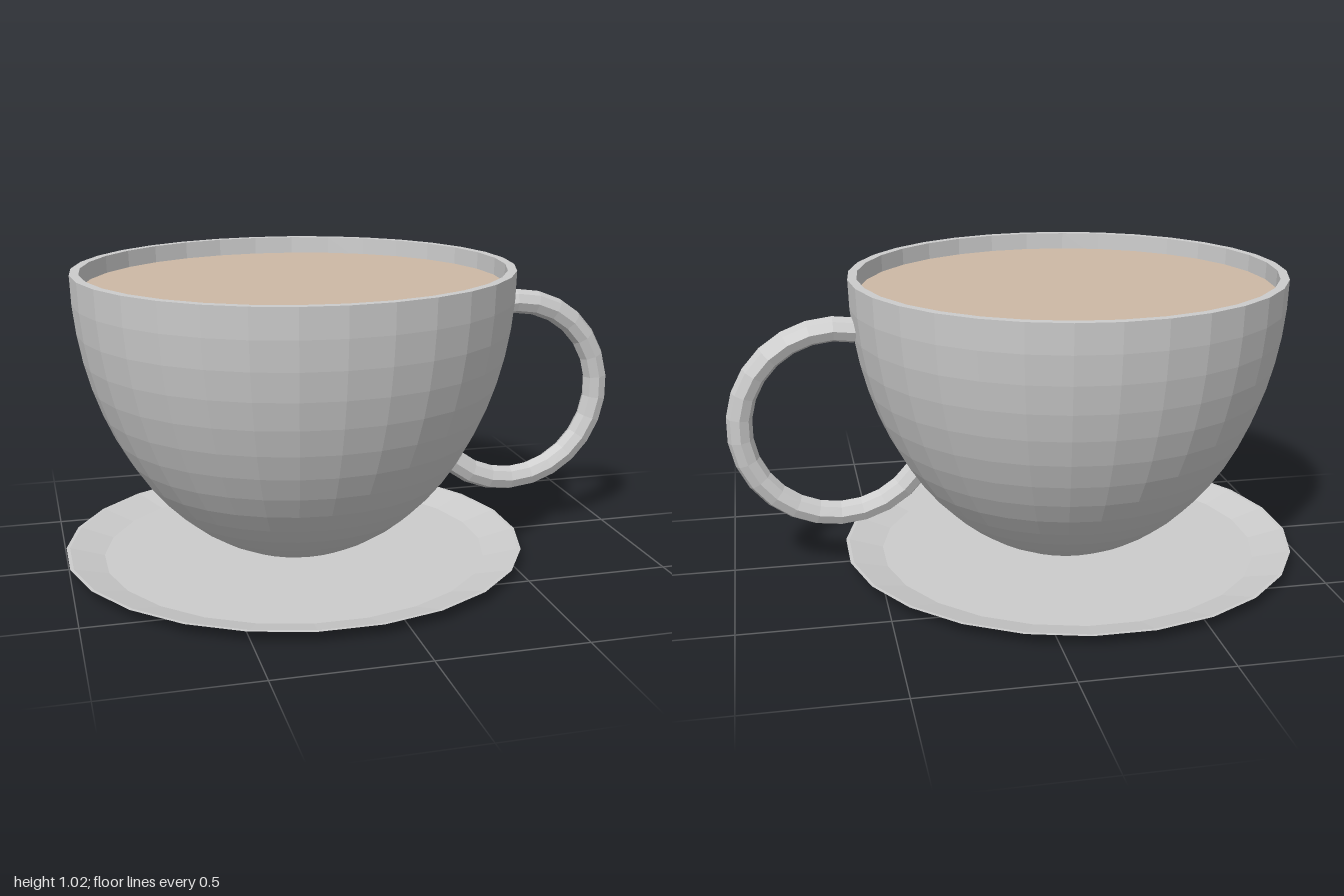
import * as THREE from 'three';

const grey = new THREE.MeshStandardMaterial({ color: 0xcccccc, flatShading: true, side: THREE.DoubleSide });
const drink = new THREE.MeshStandardMaterial({ color: 0xccb8a5, side: THREE.DoubleSide });

const CENTRE_X = -0.19;
const RIM_Y = 1.025;
const DEPTH_SCALE = 0.97; // the bowl is slightly narrower front to back

function addMesh(group, name, geometry, material) {
  const mesh = new THREE.Mesh(geometry, material);
  mesh.name = name;
  group.add(mesh);
  return mesh;
}

// Quarter-ellipse profile running from the bottom centre up to the rim
function bowlProfile(radius, height, steps) {
  const points = [];
  for (let i = 0; i <= steps; i++) {
    const a = (i / steps) * Math.PI / 2;
    points.push(new THREE.Vector2(radius * Math.sin(a), RIM_Y - height * Math.cos(a)));
  }
  return points;
}

export function createModel() {
  const group = new THREE.Group();
  group.name = 'cupAndSaucer';

  // Bowl: outer wall up, flat rim, inner wall back down
  const profile = [...bowlProfile(0.757, 1.021, 16), ...bowlProfile(0.726, 0.985, 16).reverse()];
  const cup = addMesh(group, 'cup', new THREE.LatheGeometry(profile, 32), grey);
  cup.position.x = CENTRE_X;
  cup.scale.z = DEPTH_SCALE;

  // Drink surface just below the rim
  const liquid = addMesh(group, 'drink', new THREE.CircleGeometry(0.724, 32), drink);
  liquid.rotation.x = -Math.PI / 2;
  liquid.scale.y = DEPTH_SCALE;
  liquid.position.set(CENTRE_X, 0.965, 0);

  // Shallow dished saucer
  const plate = [[0, 0], [0.68, 0], [0.807, 0.04], [0.795, 0.04], [0.675, 0.008], [0, 0.008]]
    .map(([r, y]) => new THREE.Vector2(r, y));
  const saucer = addMesh(group, 'saucer', new THREE.LatheGeometry(plate, 24, Math.PI / 24), grey);
  saucer.position.x = -0.2;

  // Ring handle, its ends buried in the cup wall
  const start = THREE.MathUtils.degToRad(-145);
  const sweep = THREE.MathUtils.degToRad(248);
  const ring = new THREE.TorusGeometry(0.333, 0.044, 8, 18, sweep);
  ring.rotateZ(start);
  const handle = addMesh(group, 'handle', ring, grey);
  handle.position.set(0.62, 0.53, -0.017);
  handle.rotation.y = 0.015;

  return group;
}
